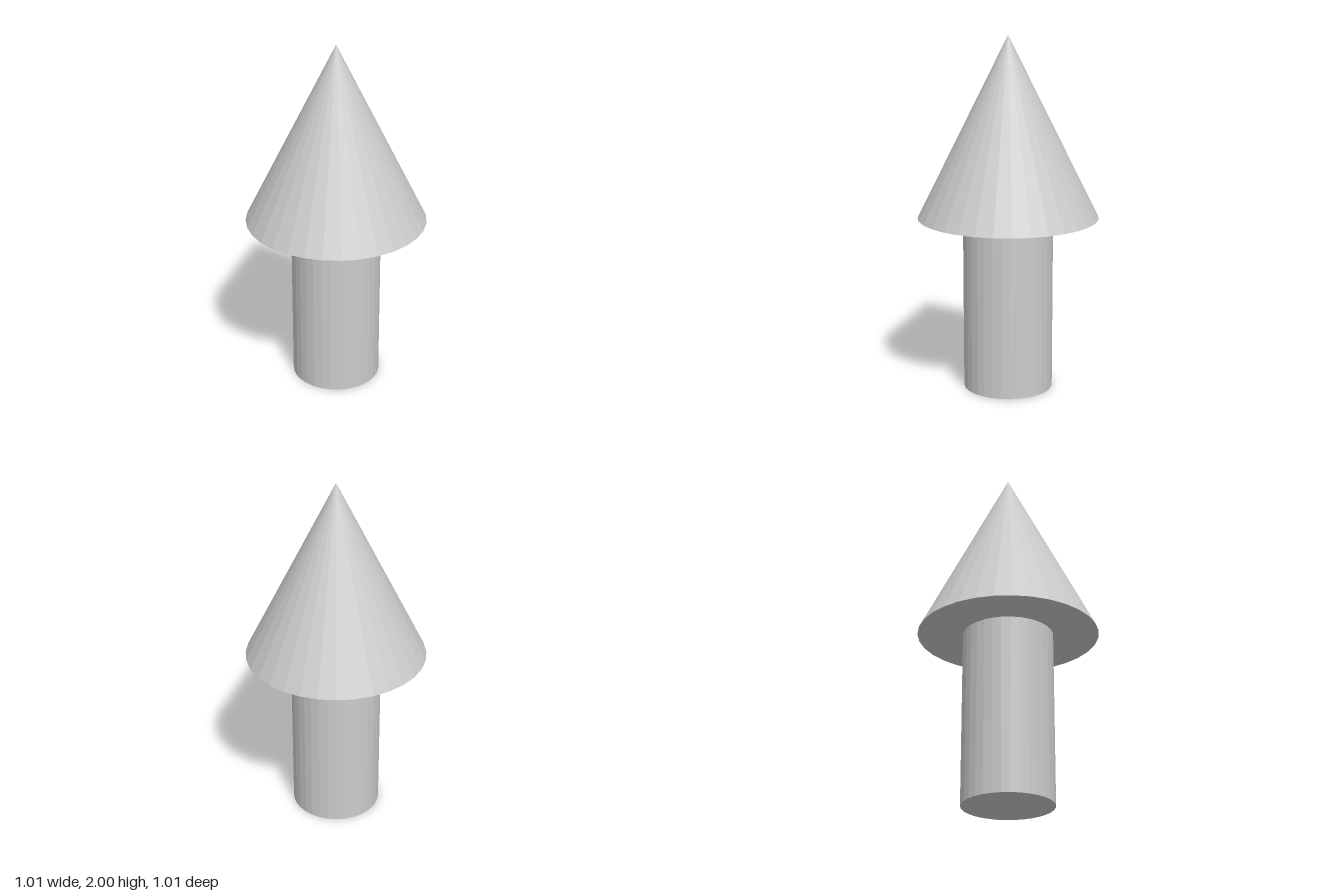
import * as THREE from 'three';

const SIDES = 32;
const BASE_Y = 0.987; // height of the cone's underside

export function createModel() {
  const group = new THREE.Group();
  const material = new THREE.MeshStandardMaterial({ color: 0xcccccc, flatShading: true });

  // Adds a part standing on the given height
  const add = (name, geometry, height, bottom) => {
    const mesh = new THREE.Mesh(geometry, material);
    mesh.name = name;
    mesh.position.y = bottom + height / 2;
    group.add(mesh);
  };

  // Round shaft
  add('shaft', new THREE.CylinderGeometry(0.253, 0.253, BASE_Y, SIDES), BASE_Y, 0);

  // Pointed head with a closed underside
  const headHeight = 2 - BASE_Y;
  add('head', new THREE.ConeGeometry(0.507, headHeight, SIDES), headHeight, BASE_Y);

  return group;
}
